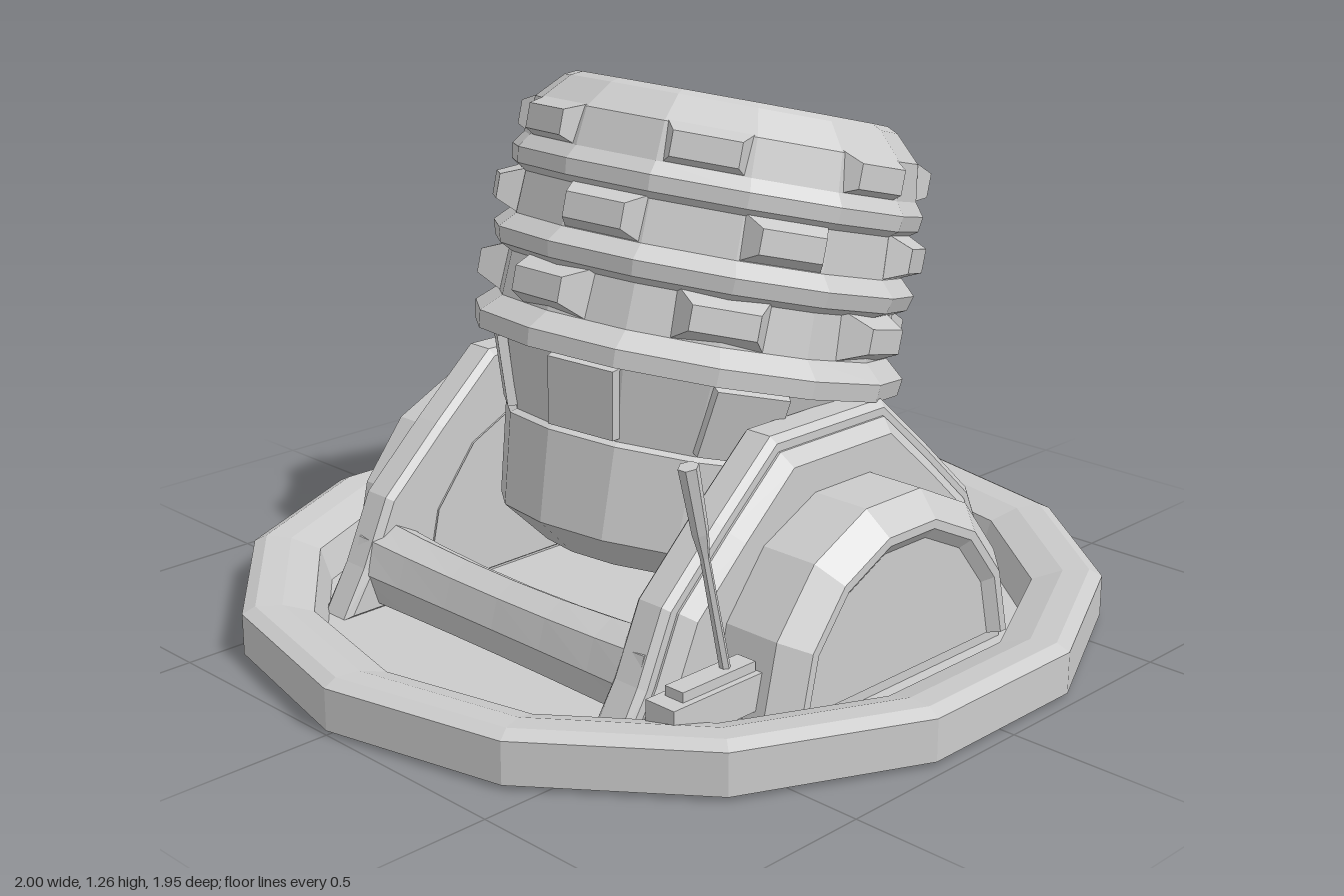
import * as THREE from 'three';

const SIDES = 14;
const STEP = (Math.PI * 2) / SIDES;

export function createModel() {
  const model = new THREE.Group();
  const grey = new THREE.MeshStandardMaterial({ color: 0xcccccc, flatShading: true });
  const greyThin = new THREE.MeshStandardMaterial({
    color: 0xcccccc, flatShading: true, side: THREE.DoubleSide });

  const add = (parent, name, geometry, x = 0, y = 0, z = 0, material = grey) => {
    const mesh = new THREE.Mesh(geometry, material);
    mesh.name = name;
    mesh.position.set(x, y, z);
    parent.add(mesh);
    return mesh;
  };
  // Faceted turned part with a corner on +x
  const turned = (profile, sides = SIDES, arc = Math.PI * 2) => new THREE.LatheGeometry(
    profile.map(([r, y]) => new THREE.Vector2(r, y)), sides, Math.PI / 2, arc);
  // Box whose +z face is shrunk
  const taperedBlock = (w, h, d, sx, sy) => {
    const g = new THREE.BoxGeometry(w, h, d);
    const p = g.attributes.position;
    for (let i = 0; i < p.count; i++) {
      if (p.getZ(i) > 0) p.setXY(i, p.getX(i) * sx, p.getY(i) * sy);
    }
    return g;
  };

  // Round dish with a hollow raised rim and a thin floor
  add(model, 'baseDish', turned([
    [1, 0.01], [1, 0.105], [0.97, 0.12], [0.91, 0.115], [0.84, 0.09], [0.815, 0.012], [0, 0.012],
  ]), 0, 0, 0, greyThin);

  // Cheek plates and bearing drums, front and back
  const half = [[0.635, 0.01], [0.57, 0.12], [0.5, 0.275], [0.345, 0.42], [0.18, 0.565]];
  const outline = [...half, ...half.map(([x, y]) => [-x, y]).reverse()];
  const plate = (scale, depth, bevel) => {
    const shape = new THREE.Shape(outline.map(([x, y]) =>
      new THREE.Vector2(x * scale, 0.01 + (y - 0.01) * scale)));
    return new THREE.ExtrudeGeometry(shape, {
      depth: depth - 2 * bevel, bevelThickness: bevel, bevelSize: bevel,
      bevelOffset: -bevel, bevelSegments: 1,
    }).translate(0, 0, bevel);
  };
  for (const [name, turn] of [['front', 0], ['back', Math.PI]]) {
    const side = new THREE.Group();
    side.name = name + 'Support';
    side.rotation.y = turn;
    side.position.z = turn ? -0.015 : 0;
    model.add(side);
    add(side, 'cheekPlate', plate(1, 0.095, 0.015), 0, 0, 0.395);
    add(side, 'cheekRaisedPlate', plate(0.94, 0.065, 0.03), 0, 0, 0.46);
    // Half-round drum with a recessed face
    const drum = turned([
      [0.4, 0.39], [0.4, 0.665], [0.345, 0.72], [0.325, 0.72], [0.3, 0.7], [0, 0.7],
    ], 7, Math.PI).rotateX(Math.PI / 2);
    add(side, 'bearingDrum', drum, 0, 0.04, 0);
    add(side, 'drumFoot', new THREE.BoxGeometry(0.72, 0.03, 0.29), 0, 0.027, 0.545);
  }

  // Waisted eight-sided cross beams with a level underside
  for (const s of [-1, 1]) {
    const g = new THREE.CylinderGeometry(1, 1, 0.94, 8, 6).rotateX(Math.PI / 2);
    const p = g.attributes.position;
    for (let i = 0; i < p.count; i++) {
      const t = p.getZ(i) / 0.47;
      const waist = 0.8 + 0.2 * t * t;
      p.setXY(i, p.getX(i) * 0.085 * waist, (p.getY(i) + 1) * 0.106 * (0.9 + 0.1 * t * t));
    }
    add(model, 'crossBeam', g, s * 0.485, 0, 0);
  }

  // Tilted barrel: closed outer wall, three hoops and hollow bore
  const barrel = new THREE.Group();
  barrel.name = 'barrel';
  barrel.position.set(0.055, 0.62, 0);
  barrel.rotation.z = -0.253;
  model.add(barrel);
  add(barrel, 'barrelBody', turned([
    [0, -0.51], [0.25, -0.49], [0.365, -0.42], [0.39, -0.21], [0.375, -0.2],
    [0.43, -0.03], [0.495, -0.03], [0.5, 0.01], [0.455, 0.05],
    [0.45, 0.15], [0.48, 0.165], [0.49, 0.2], [0.455, 0.235],
    [0.45, 0.33], [0.472, 0.345], [0.477, 0.38], [0.455, 0.41],
    [0.443, 0.495], [0.385, 0.555], [0.36, 0.567], [0.335, 0.567],
    [0.325, 0.535], [0.303, 0.535], [0.285, -0.15], [0, -0.15],
  ]));

  // Part facing outwards at an angle measured from +x towards +z
  const around = (name, geometry, angle, radius, y, lean = 0) => {
    const mesh = add(barrel, name, geometry, radius * Math.cos(angle), y, radius * Math.sin(angle));
    mesh.rotation.set(lean, Math.PI / 2 - angle, 0, 'YXZ');
  };
  // Three rows of seven studs: height, first angle, radius
  const stud = taperedBlock(0.205, 0.115, 0.07, 0.72, 0.48);
  const rows = [[0.105, 0.46, 0.46], [0.285, STEP / 2, 0.457], [0.452, -STEP / 2, 0.438]];
  for (const [y, phase, radius] of rows) {
    for (let i = 0; i < 7; i++) around('stud', stud, phase + i * 2 * STEP, radius, y);
  }
  // Raised staves on the tapering lower wall
  const stave = taperedBlock(0.18, 0.165, 0.04, 0.94, 0.97);
  for (let i = 0; i < 7; i++) {
    around('stave', stave, (2 * i + 0.5) * STEP, 0.394, -0.115, 0.32);
  }

  // Hand lever on its mount
  const lever = new THREE.Group();
  lever.name = 'lever';
  lever.position.set(-0.44, 0.15, 0.6);
  lever.rotation.z = 0.23;
  model.add(lever);
  add(model, 'leverFoot', new THREE.BoxGeometry(0.26, 0.08, 0.08), -0.5, 0.105, 0.6);
  add(model, 'leverMount', new THREE.BoxGeometry(0.21, 0.03, 0.05), -0.485, 0.152, 0.6);
  add(lever, 'leverRod', new THREE.CylinderGeometry(0.01, 0.012, 0.35, 6), 0, 0.17, 0);
  add(lever, 'leverGrip', new THREE.CylinderGeometry(0.022, 0.018, 0.15, 6), 0, 0.412, 0);
  add(lever, 'leverCollar', new THREE.CylinderGeometry(0.018, 0.01, 0.06, 6), 0, 0.307, 0);

  return model;
}
